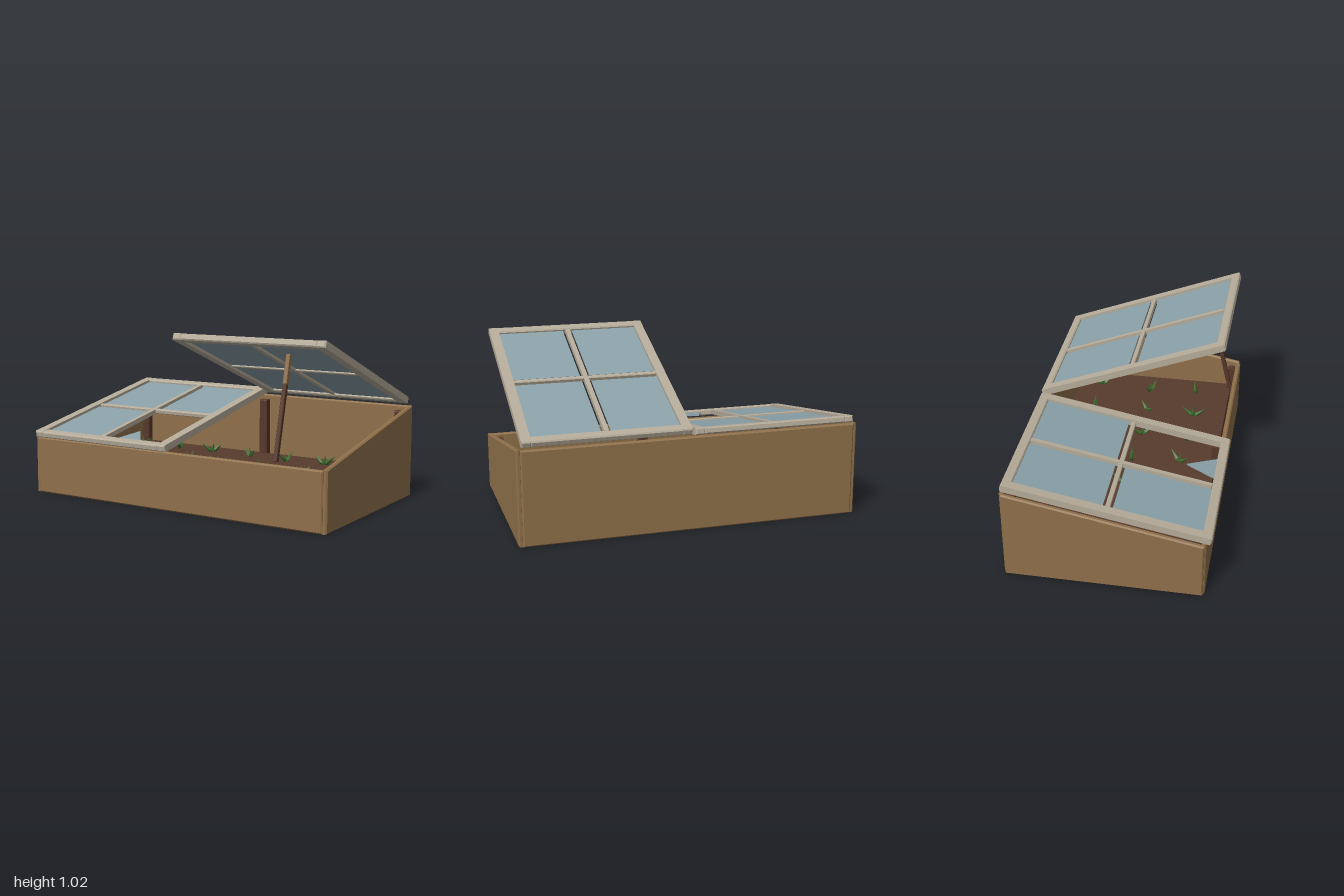
import * as THREE from 'three';

const flat = (name, color, extra = {}) => {
  const m = new THREE.MeshStandardMaterial({ color, ...extra });
  m.name = name;
  return m;
};

export function createModel() {
  const wood = flat('boardWood', 0x8f704a);
  const darkWood = flat('darkWood', 0x56382a);
  const soilMat = flat('soil', 0x573a2d);
  const paint = flat('weatheredPaint', 0xb5ab99);
  const glass = flat('glass', 0x8aa0a8, { side: THREE.DoubleSide });
  const green = flat('leafGreen', 0x3f6b2d, { flatShading: true });

  const root = new THREE.Group();
  root.name = 'coldFrame';

  const add = (parent, name, geo, mat, x = 0, y = 0, z = 0) => {
    const m = new THREE.Mesh(geo, mat);
    m.name = name;
    m.position.set(x, y, z);
    parent.add(m);
    return m;
  };

  // Extruded outline with chamfered edges, centred along its depth
  const chamfered = (pts, depth, b) => {
    const g = new THREE.ExtrudeGeometry(new THREE.Shape(pts.map(p => new THREE.Vector2(...p))), {
      depth: depth - 2 * b, bevelEnabled: true, bevelThickness: b, bevelSize: b, bevelSegments: 1,
    });
    return g.translate(0, 0, b - depth / 2);
  };
  const board = (w, h, d, b = 0.006) => {
    const x = w / 2 - b, y = h / 2 - b;
    return chamfered([[-x, -y], [x, -y], [x, y], [-x, y]], d, b);
  };

  // Box walls: sloping ends, low front, tall back
  const b = 0.008;
  const end = chamfered(
    [[-0.548 + b, b], [0.568 - b, b], [0.568 - b, 0.553 - b], [-0.548 + b, 0.347 - b]], 0.03, b,
  ).rotateY(Math.PI / 2);
  for (const s of [-1, 1]) add(root, s > 0 ? 'leftWall' : 'rightWall', end, wood, s * 0.983);
  add(root, 'frontWall', board(1.95, 0.342, 0.03, b), wood, 0, 0.171, 0.542);
  add(root, 'backWall', board(1.95, 0.55, 0.03, b), wood, 0, 0.275, -0.564);

  // Inner corner and middle posts
  for (const x of [-0.935, 0, 0.935]) {
    add(root, 'backPost', board(0.055, 0.515, 0.05), darkWood, x, 0.2625, -0.524);
    add(root, 'frontPost', board(0.055, 0.315, 0.05), darkWood, x, 0.1625, 0.502);
  }

  add(root, 'soilBed', new THREE.BoxGeometry(1.93, 0.16, 1.02), soilMat, 0, 0.092, -0.01);

  // Seedlings: two splayed leaves and a short middle shoot
  const leaf = new THREE.ConeGeometry(0.018, 0.09, 4).translate(0, 0.045, 0);
  const blade = new THREE.ConeGeometry(0.018, 0.03, 4).rotateX(Math.PI).translate(0, -0.015, 0);
  const seedling = (x, z, yaw, size) => {
    const p = new THREE.Group();
    p.name = 'seedling';
    [[-0.85, 1], [0.85, 1], [0.1, 0.75]].forEach(([tilt, k]) => {
      const arm = new THREE.Group();
      arm.name = 'leaf';
      add(arm, 'leafTip', leaf, green, 0, 0.03);
      add(arm, 'leafBase', blade, green, 0, 0.03);
      arm.rotation.z = tilt;
      arm.scale.setScalar(k * 0.8);
      p.add(arm);
    });
    p.position.set(x, 0.17, z);
    p.rotation.y = yaw;
    p.scale.setScalar(size);
    root.add(p);
  };
  [-0.35, -0.01, 0.29].forEach((z, r) => {
    for (let c = 0; c < 7; c++) {
      const k = r * 7 + c;
      const yaw = r === 2 && c === 2 ? Math.PI / 2 : k * 1.9;
      seedling(-0.83 + c * 0.272 + 0.015 * Math.sin(k * 2.3), z + 0.015 * Math.cos(k * 1.7), yaw,
        0.95 + 0.12 * Math.sin(k * 3.1));
    }
  });

  // Glazed lid, hinged at its back edge and running along local +z
  const L = 1.18, W = 0.96, T = 0.04, F = 0.056;
  const lid = (name, x, angle, broken) => {
    const g = new THREE.Group();
    g.name = name;
    for (const s of [-1, 1]) {
      add(g, 'stile', board(F, T, L, 0.007), paint, s * (W - F) / 2, 0, L / 2);
      add(g, 'rail', board(W - 2 * F + 0.01, T - 0.002, F, 0.007), paint, 0, 0, L / 2 + s * (L - F) / 2);
    }
    add(g, 'longBar', board(0.028, 0.028, L - 2 * F, 0.004), paint, 0, 0.002, L / 2);
    add(g, 'crossBar', board(W - 2 * F, 0.026, 0.028, 0.004), paint, 0, 0.002, L / 2);
    const pw = W / 2 - F - 0.026, pl = L / 2 - F - 0.026;
    for (const sx of [-1, 1]) for (const sz of [-1, 1]) {
      if (broken && sx > 0 && sz > 0) continue;
      add(g, 'pane', new THREE.BoxGeometry(pw, 0.008, pl), glass,
        sx * (0.028 + pw / 2), 0, L / 2 + sz * (0.028 + pl / 2));
    }
    if (broken) {
      // Shard left standing in the front rail
      const shard = new THREE.Shape([[0.08, -1.13], [0.275, -1.13], [0.15, -0.955]]
        .map(p => new THREE.Vector2(...p)));
      add(g, 'glassShard', new THREE.ExtrudeGeometry(shard, { depth: 0.008, bevelEnabled: false })
        .rotateX(-Math.PI / 2), glass, 0, -0.004, 0);
    }
    g.position.set(x, 0.578, -0.575);
    g.rotation.x = angle;
    root.add(g);
  };
  lid('closedLid', -0.49, 0.182, true);
  lid('openLid', 0.488, -0.367, false);

  // Prop stick: dark lower length, paler top
  const prop = new THREE.Group();
  prop.name = 'propStick';
  add(prop, 'propLower', board(0.025, 0.42, 0.025, 0.003), darkWood, 0, 0.21);
  add(prop, 'propUpper', board(0.025, 0.165, 0.025, 0.003), wood, 0, 0.5025);
  prop.position.set(0.668, 0.352, 0.51);
  prop.rotation.x = -0.24;
  root.add(prop);

  return root;
}
